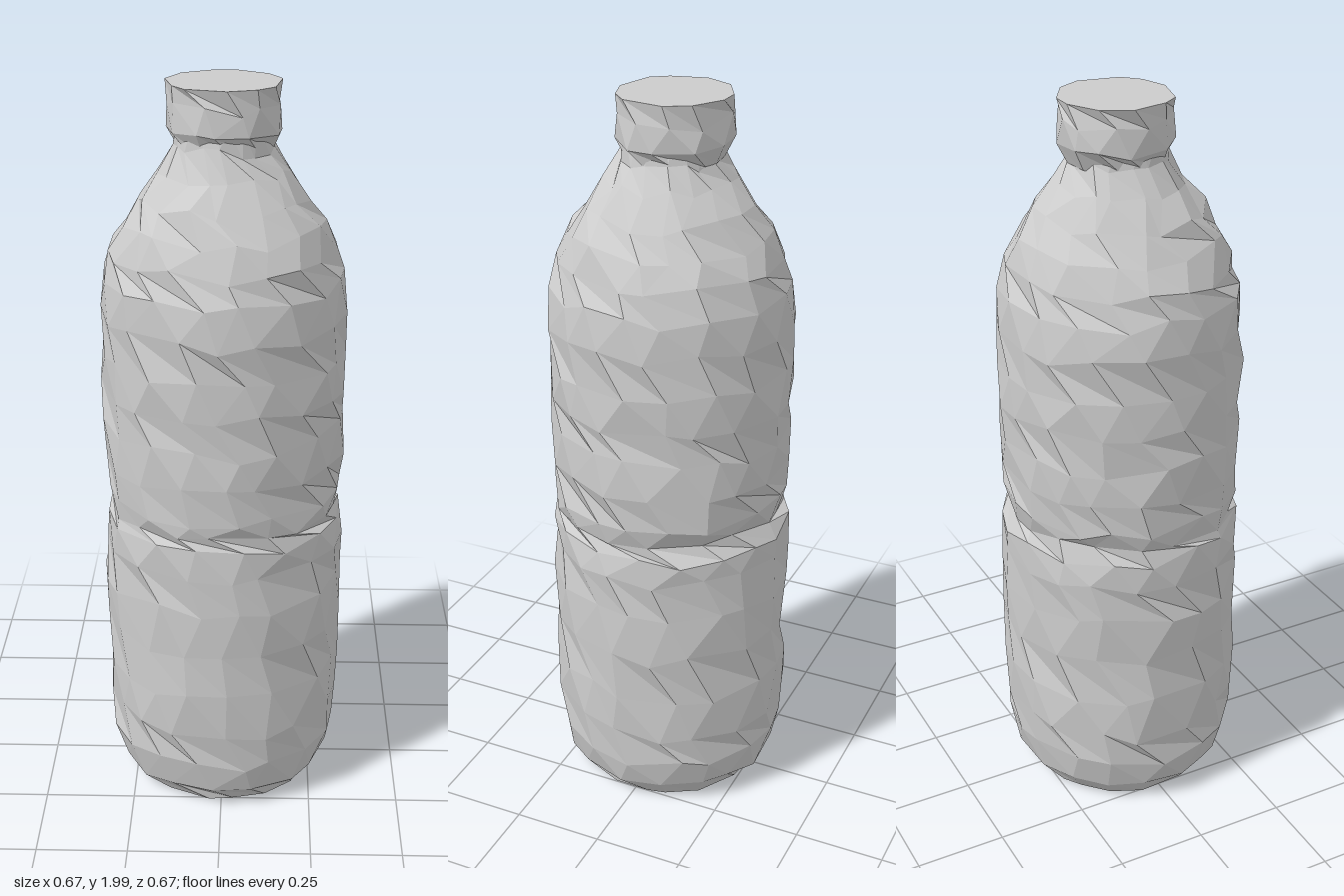
import * as THREE from 'three';

// Repeatable noise in -1..1 for a ring and a column
function noise(ring, column, salt) {
  const s = Math.sin(ring * 127.1 + column * 311.7 + salt * 74.7) * 43758.5453;
  return (s - Math.floor(s)) * 2 - 1;
}

// Lathe whose inner rings are shaken a little; the seam column repeats column 0
function roughLathe(profile, sides, shake, dent = () => 0) {
  const geo = new THREE.LatheGeometry(profile.map(([r, y]) => new THREE.Vector2(r, y)), sides);
  const pos = geo.attributes.position;
  const n = profile.length;
  for (let i = 0; i <= sides; i++) {
    for (let j = 0; j < n; j++) {
      const [r, y] = profile[j];
      if (r === 0) continue;
      const c = i % sides;
      const flatRim = j === 1 || j === n - 2;
      const angle = ((c + 0.3 * noise(j, c, 1) + (j % 2) * 0.4) / sides) * Math.PI * 2;
      const radius = r + shake * noise(j, c, 2) - dent(angle, y);
      const height = y + (flatRim ? 0 : shake * 3 * noise(j, c, 3));
      pos.setXYZ(i * n + j, Math.sin(angle) * radius, height, Math.cos(angle) * radius);
    }
  }
  const flat = geo.toNonIndexed();
  flat.computeVertexNormals();
  return flat;
}

export function createModel() {
  const group = new THREE.Group();
  const material = new THREE.MeshStandardMaterial({ color: 0xcccccc, flatShading: true });

  // Crumpled body: base, straight wall with a pinched waist, round shoulder, neck
  const bodyProfile = [
    [0, 0.005], [0.255, 0.005], [0.3, 0.06], [0.326, 0.15], [0.331, 0.25],
    [0.331, 0.38], [0.331, 0.51], [0.331, 0.64], [0.33, 0.75], [0.327, 0.82],
    [0.32, 0.86], [0.326, 0.91], [0.328, 1.0], [0.328, 1.1], [0.329, 1.2],
    [0.33, 1.3], [0.33, 1.4], [0.321, 1.5], [0.299, 1.57], [0.268, 1.64],
    [0.222, 1.71], [0.17, 1.78], [0.132, 1.84], [0.12, 1.9], [0, 1.9],
  ];
  // The waist crease is deepest at the back and fades towards the front
  const crease = (angle, y) =>
    (Math.abs(y - 0.86) < 0.01 ? 0.016 * (0.5 - 0.5 * Math.cos(angle)) : 0);
  const body = new THREE.Mesh(roughLathe(bodyProfile, 17, 0.0055, crease), material);
  body.name = 'bottleBody';
  group.add(body);

  // Faceted screw cap, set slightly towards the back
  const capProfile = [[0, 1.83], [0.125, 1.83], [0.152, 1.875], [0.152, 1.94], [0.152, 1.995], [0, 1.995]];
  const cap = new THREE.Mesh(roughLathe(capProfile, 11, 0.005), material);
  cap.name = 'cap';
  cap.position.set(0.002, 0.004, -0.012);
  group.add(cap);

  return group;
}
